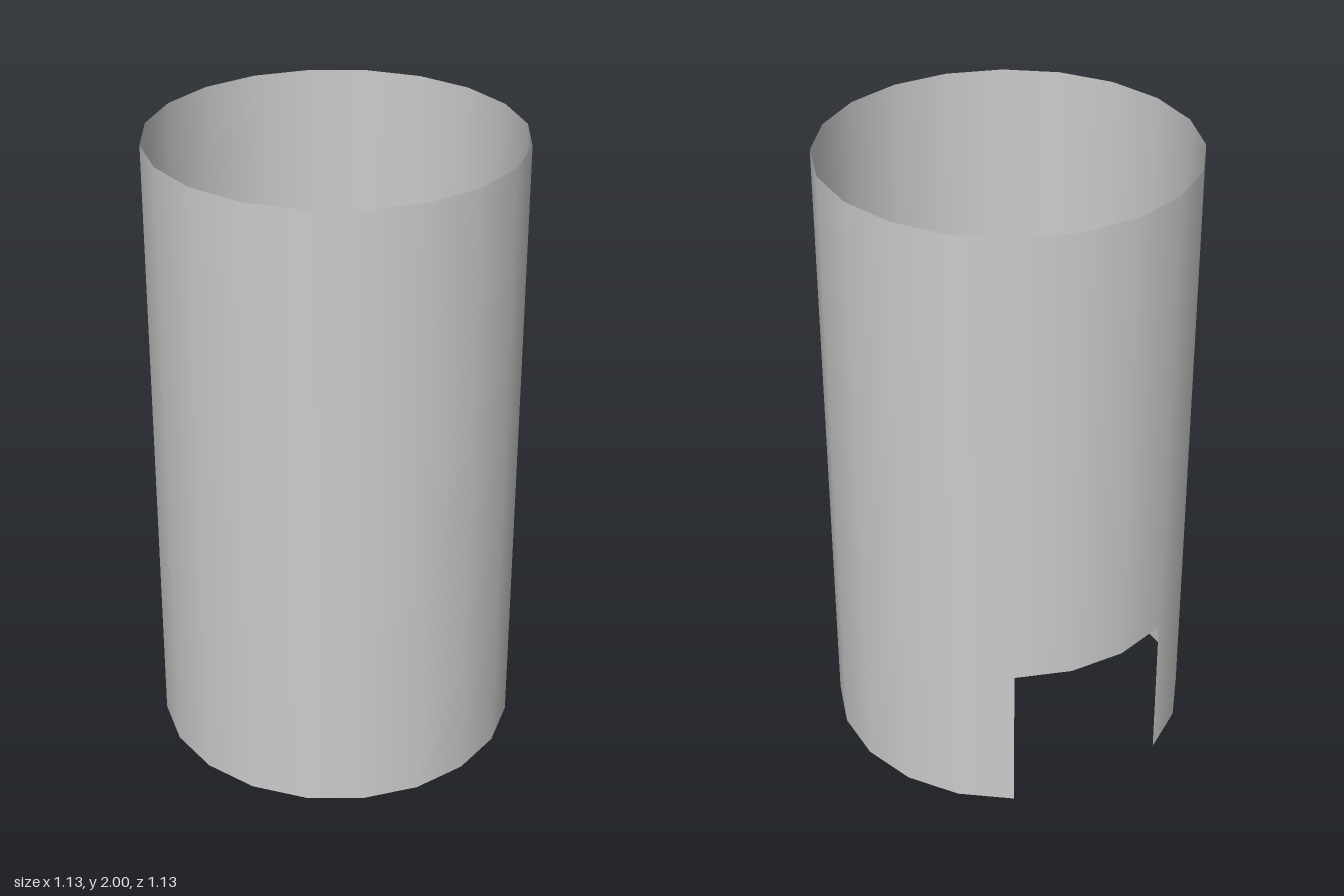
import * as THREE from 'three';

const SIDES = 20;
const STEP = (Math.PI * 2) / SIDES;
const RADIUS = 0.574;
const HEIGHT = 2;
const DOOR_HEIGHT = 0.495;
const DOOR_SIDES = 3; // facets left out for the opening at the back

export function createModel() {
  const group = new THREE.Group();
  group.name = 'openTube';
  const material = new THREE.MeshStandardMaterial({ color: 0xcccccc, side: THREE.DoubleSide });

  // Open, paper-thin band of wall that starts at the edge of the opening
  const addWall = (name, bottom, top, sides) => {
    const start = Math.PI + (DOOR_SIDES / 2) * STEP;
    const geometry = new THREE.CylinderGeometry(
      RADIUS, RADIUS, top - bottom, sides, 1, true, start, sides * STEP);
    geometry.translate(0, (bottom + top) / 2, 0);
    const mesh = new THREE.Mesh(geometry, material);
    mesh.name = name;
    group.add(mesh);
  };

  // Lower wall leaves the doorway free, upper wall goes all the way round
  addWall('lowerWall', 0, DOOR_HEIGHT, SIDES - DOOR_SIDES);
  addWall('upperWall', DOOR_HEIGHT, HEIGHT, SIDES);

  return group;
}
